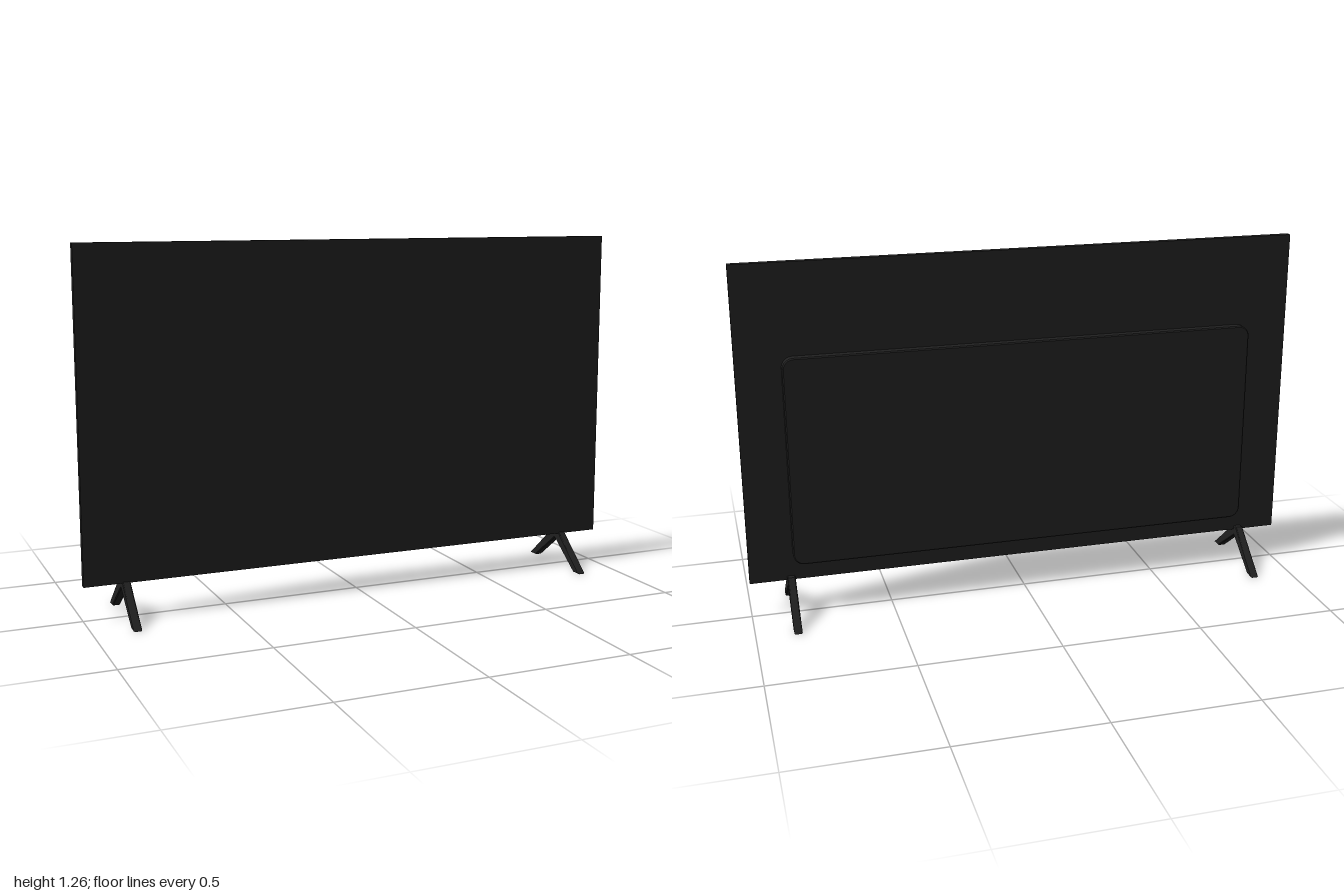
import * as THREE from 'three';

const black = new THREE.MeshStandardMaterial({ color: 0x202020 });
black.name = 'matte black';

// Rectangle outline with rounded corners
function roundedRect(w, h, r) {
  const s = new THREE.Shape();
  const x = w / 2, y = h / 2;
  s.absarc(x - r, y - r, r, 0, Math.PI / 2);
  s.absarc(-x + r, y - r, r, Math.PI / 2, Math.PI);
  s.absarc(-x + r, -y + r, r, Math.PI, Math.PI * 1.5);
  s.absarc(x - r, -y + r, r, Math.PI * 1.5, Math.PI * 2);
  return s;
}

export function createModel() {
  const model = new THREE.Group();
  model.name = 'television';
  const add = (name, geometry, x, y, z) => {
    const mesh = new THREE.Mesh(geometry, black);
    mesh.name = name;
    mesh.position.set(x, y, z);
    model.add(mesh);
  };

  // Thin display panel
  add('screenPanel', new THREE.BoxGeometry(2, 1.14, 0.024), 0, 0.695, 0.016);

  // Rounded electronics housing with a small bevelled rim
  const bevel = 0.004;
  const housing = new THREE.ExtrudeGeometry(roundedRect(1.69 - 2 * bevel, 0.753 - 2 * bevel, 0.035), {
    depth: 0.028, bevelSize: bevel, bevelThickness: bevel, bevelSegments: 1, curveSegments: 8,
  });
  add('backHousing', housing, 0, 0.567, -0.023);

  // Splayed legs: an inverted V profile in z and y, extruded across x
  const profile = new THREE.Shape([
    [0.177, 0], [0.137, 0], [0, 0.103], [-0.137, 0], [-0.177, 0], [-0.015, 0.14], [0.015, 0.14],
  ].map(([z, y]) => new THREE.Vector2(z, y)));
  const edge = 0.003;
  const leg = new THREE.ExtrudeGeometry(profile, {
    depth: 0.028 - 2 * edge, bevelSize: edge, bevelOffset: -edge, bevelThickness: edge, bevelSegments: 1,
  });
  leg.translate(0, 0, -0.014 + edge).rotateY(-Math.PI / 2);
  for (const side of [-1, 1]) add(side > 0 ? 'leftLeg' : 'rightLeg', leg, side * 0.855, 0, 0);

  return model;
}
